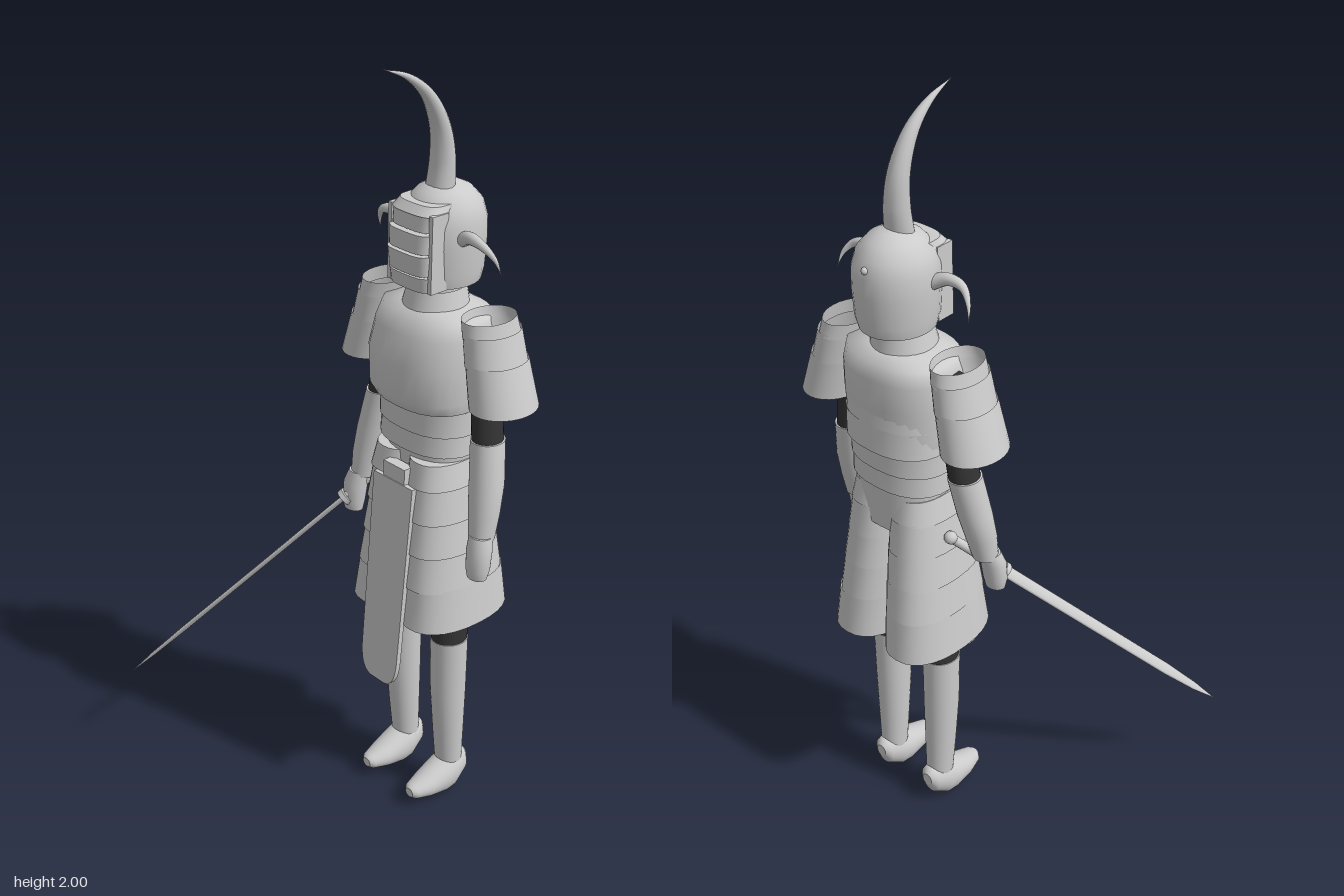
import * as THREE from 'three';

const armour = new THREE.MeshStandardMaterial({ color: 0xcccccc, side: THREE.DoubleSide });
armour.name = 'steelGrey';
const cloth = new THREE.MeshStandardMaterial({ color: 0x333333, side: THREE.DoubleSide });
cloth.name = 'darkCloth';

// Surface through stacked superellipse rings [y, rx, rz, cx, cz], listed bottom to top
function loft(rings, { caps = true, n = 28, power = 2 } = {}) {
  const pos = [], idx = [];
  const sp = (v) => Math.sign(v) * Math.abs(v) ** (2 / power);
  const addRing = ([y, rx, rz, cx = 0, cz = 0]) => {
    const start = pos.length / 3;
    for (let i = 0; i < n; i++) {
      const a = (i / n) * Math.PI * 2;
      pos.push(cx + rx * sp(Math.cos(a)), y, cz + rz * sp(Math.sin(a)));
    }
    return start;
  };
  const starts = rings.map(addRing);
  for (let k = 0; k < starts.length - 1; k++) {
    for (let i = 0; i < n; i++) {
      const j = (i + 1) % n, a = starts[k], b = starts[k + 1];
      idx.push(a + i, b + i, a + j, a + j, b + i, b + j);
    }
  }
  if (caps) {
    [[rings[0], false], [rings[rings.length - 1], true]].forEach(([r, top]) => {
      const s = addRing(r), c = pos.length / 3;
      pos.push(r[3] || 0, r[0], r[4] || 0);
      for (let i = 0; i < n; i++) {
        const j = (i + 1) % n;
        if (top) idx.push(c, s + j, s + i);
        else idx.push(c, s + i, s + j);
      }
    });
  }
  const g = new THREE.BufferGeometry();
  g.setAttribute('position', new THREE.Float32BufferAttribute(pos, 3));
  g.setIndex(idx);
  g.computeVertexNormals();
  return g;
}

// Tube along a curve, tapering to a point
function horn(points, radius, flat = 1) {
  const curve = new THREE.CatmullRomCurve3(points.map((p) => new THREE.Vector3(...p)));
  const seg = 28, sides = 14;
  const g = new THREE.TubeGeometry(curve, seg, radius, sides);
  const p = g.attributes.position, v = new THREE.Vector3();
  for (let i = 0; i < p.count; i++) {
    const t = Math.floor(i / (sides + 1)) / seg;
    const c = curve.getPointAt(t);
    v.fromBufferAttribute(p, i).sub(c).multiplyScalar(Math.max(0.01, 1 - t ** 1.4));
    v.x *= flat;
    p.setXYZ(i, c.x + v.x, c.y + v.y, c.z + v.z);
  }
  return g;
}

function add(parent, name, geometry, material = armour) {
  const m = new THREE.Mesh(geometry, material);
  m.name = name;
  parent.add(m);
  return m;
}

function buildHead(body) {
  const head = new THREE.Group();
  head.name = 'head';
  body.add(head);
  add(head, 'neck', loft([[1.38, 0.055, 0.06], [1.5, 0.055, 0.06]]));
  add(head, 'collar', loft([[1.41, 0.08, 0.083, 0, 0.01], [1.457, 0.068, 0.075, 0, 0.008]], { caps: false }));
  const dome = [[1.47, 0.09, 0.096], [1.5, 0.096, 0.104], [1.57, 0.1, 0.108], [1.62, 0.099, 0.107],
    [1.66, 0.088, 0.095], [1.69, 0.062, 0.068], [1.705, 0.033, 0.036], [1.71, 0.003, 0.003]];
  add(head, 'helmet', loft(dome.map((r) => [...r, 0, -0.008])));
  // face guard: stacked slats, upright side bars and a brow
  const slats = [[1.47, 1.507, 0.112, 0.118], [1.512, 1.562, 0.12, 0.126], [1.567, 1.612, 0.122, 0.12], [1.617, 1.657, 0.112, 0.108]];
  slats.forEach(([y0, y1, f0, f1]) => add(head, 'faceSlat',
    loft([[y0, 0.068, 0.05, 0, f0 - 0.05], [y1, 0.07, 0.05, 0, f1 - 0.05]], { power: 3.5 })));
  add(head, 'brow', loft([[1.655, 0.074, 0.05, 0, 0.062], [1.675, 0.066, 0.05, 0, 0.044]], { power: 3 }));
  for (const s of [-1, 1]) {
    add(head, 'faceGuardBar', new THREE.BoxGeometry(0.012, 0.19, 0.05)).position.set(s * 0.069, 1.565, 0.075);
    add(head, 'sideHorn', horn([[s * 0.085, 1.59, 0.015], [s * 0.125, 1.607, 0.028], [s * 0.168, 1.6, 0.03],
      [s * 0.195, 1.572, 0.017], [s * 0.206, 1.535, 0.005]], 0.018));
  }
  add(head, 'crestHorn', horn([[0, 1.67, 0.01], [0, 1.76, 0.002], [0, 1.84, 0.013], [0, 1.92, 0.055],
    [0, 1.97, 0.115], [0, 2, 0.19]], 0.031, 1.3));
  add(head, 'helmetRivet', new THREE.SphereGeometry(0.009, 12, 8)).position.set(0, 1.64, -0.108);
}

function buildTorso(body) {
  add(body, 'chestPlate', loft([[1.17, 0.143, 0.122, 0, 0.012], [1.2, 0.149, 0.134, 0, 0.02], [1.29, 0.155, 0.135, 0, 0.02],
    [1.36, 0.149, 0.125, 0, 0.01], [1.4, 0.142, 0.107, 0, 0.005], [1.415, 0.07, 0.075, 0, 0.005]], { power: 2.4 }));
  // overlapping plates across the back
  [[1.165, 1.24], [1.235, 1.31], [1.305, 1.375]].forEach(([y0, y1], i) => add(body, 'backPlate',
    loft([[y0, 0.142, 0.118 - i * 0.004, 0, -0.004], [y1, 0.138, 0.112 - i * 0.006, 0, -0.004]], { power: 2.4 })));
  add(body, 'bellyBandUpper', loft([[1.105, 0.141, 0.113, 0, 0.005], [1.168, 0.141, 0.112, 0, 0.006]], { power: 2.4 }));
  add(body, 'bellyBandLower', loft([[1.05, 0.14, 0.111, 0, 0.005], [1.11, 0.137, 0.108, 0, 0.005]], { power: 2.4 }));
  add(body, 'waist', loft([[0.93, 0.12, 0.1], [1.06, 0.124, 0.102]], { power: 2.4 }));
  add(body, 'beltKnot', new THREE.BoxGeometry(0.076, 0.045, 0.03)).position.set(0, 0.985, 0.122);

  // skirt: one flared, tiered tube around each leg; tiers are [y0, y1, half width, depth radius]
  const tiers = [[0.965, 1.03, 0.14, 0.115], [0.875, 0.97, 0.149, 0.126], [0.785, 0.88, 0.158, 0.137],
    [0.69, 0.79, 0.168, 0.147], [0.58, 0.695, 0.184, 0.157]];
  for (const s of [-1, 1]) {
    tiers.forEach(([y0, y1, w, d], i) => {
      const ring = (y, hw, rz) => [y, hw * 0.53, rz, s * hw * 0.47, 0.014 - i * 0.003];
      add(body, 'skirtTier', loft([ring(y0, w, d), ring(y1, w - 0.014, d - 0.012)], { caps: i === 0, power: 2.3 }));
    });
  }

  // hanging front panel with a rounded lower end
  const panel = new THREE.Shape();
  panel.moveTo(-0.07, 0);
  panel.lineTo(-0.066, -0.5);
  panel.bezierCurveTo(-0.064, -0.56, -0.045, -0.577, -0.02, -0.577);
  panel.lineTo(0.02, -0.577);
  panel.bezierCurveTo(0.045, -0.577, 0.064, -0.56, 0.066, -0.5);
  panel.lineTo(0.07, 0);
  const apron = add(body, 'frontPanel', new THREE.ExtrudeGeometry(panel, { depth: 0.014, bevelEnabled: false }));
  apron.position.set(0, 0.965, 0.126);
  apron.rotation.x = -0.075;
}

function buildLimbs(body) {
  for (const s of [-1, 1]) {
    const side = (rings) => rings.map(([y, rx, rz, cx, cz]) => [y, rx, rz, s * cx, cz]);
    // arm
    add(body, 'upperArm', loft(side([[1.1, 0.037, 0.041, 0.187, 0.005], [1.22, 0.037, 0.041, 0.172, 0], [1.37, 0.036, 0.04, 0.15, -0.002]])), cloth);
    add(body, 'forearm', loft(side([[0.865, 0.033, 0.032, 0.217, 0.043], [0.93, 0.04, 0.039, 0.212, 0.033],
      [1.0, 0.044, 0.043, 0.204, 0.02], [1.11, 0.041, 0.045, 0.187, 0.005]])));
    add(body, 'hand', loft(side([[0.765, 0.027, 0.022, 0.229, 0.066], [0.79, 0.032, 0.028, 0.23, 0.065],
      [0.84, 0.034, 0.03, 0.228, 0.06], [0.875, 0.03, 0.028, 0.222, 0.05]])));
    // open-ended shoulder guard in three flared tiers
    [[[1.385, 0.054, 0.081, 0.18, 0.002], [1.425, 0.054, 0.075, 0.172, 0.004]],
      [[1.315, 0.063, 0.085, 0.198, 0], [1.395, 0.058, 0.08, 0.182, 0.002]],
      [[1.21, 0.075, 0.091, 0.227, -0.002], [1.325, 0.065, 0.084, 0.2, 0]]].forEach((t) =>
      add(body, 'shoulderGuardTier', loft(side(t), { caps: false })));
    // leg
    add(body, 'thigh', loft(side([[0.47, 0.044, 0.049, 0.088, 0.012], [0.78, 0.046, 0.055, 0.086, 0.01]])), cloth);
    add(body, 'greave', loft(side([[0.09, 0.036, 0.036, 0.085, -0.003], [0.2, 0.041, 0.042, 0.086, 0.003],
      [0.33, 0.046, 0.048, 0.087, 0.009], [0.495, 0.047, 0.051, 0.088, 0.012]])));
    // boot, lofted from heel to toe
    const boot = [[-0.056, 0.016, 0.018, 0.085], [-0.042, 0.033, 0.042, 0.076], [0, 0.045, 0.06, 0.063],
      [0.03, 0.046, 0.054, 0.055], [0.085, 0.04, 0.034, 0.047], [0.128, 0.027, 0.021, 0.045], [0.14, 0.014, 0.013, 0.045]];
    add(body, 'boot', loft(boot.map(([z, rx, ry, y]) => [z, rx, ry, s * 0.086, -y])).rotateX(Math.PI / 2));
  }
}

function buildSword(body) {
  const sword = new THREE.Group();
  sword.name = 'sword';
  add(sword, 'blade', loft([[0, 0.017, 0.005], [0.6, 0.016, 0.005], [0.71, 0.011, 0.004], [0.79, 0.0006, 0.0006]], { n: 8 }));
  add(sword, 'grip', loft([[-0.18, 0.012, 0.012], [0, 0.012, 0.012]], { n: 14 }));
  add(sword, 'guard', loft([[-0.008, 0.022, 0.022], [0.006, 0.022, 0.022]], { n: 20 }));
  add(sword, 'pommel', new THREE.SphereGeometry(0.017, 14, 10)).position.y = -0.18;
  // aim the blade forward, down and outward
  const along = new THREE.Vector3(-0.455, -0.676, 0.581).normalize();
  const thin = new THREE.Vector3(0.324, 0.482, 0.814).cross(along).normalize();
  const wide = along.clone().cross(thin);
  sword.setRotationFromMatrix(new THREE.Matrix4().makeBasis(wide, along, thin));
  sword.position.set(-0.237, 0.8, 0.09);
  body.add(sword);
}

export function createModel() {
  const model = new THREE.Group();
  model.name = 'armouredWarrior';
  const body = new THREE.Group();
  body.name = 'body';
  body.position.set(0.147, 0, -0.195);
  model.add(body);
  buildHead(body);
  buildTorso(body);
  buildLimbs(body);
  buildSword(body);
  return model;
}
